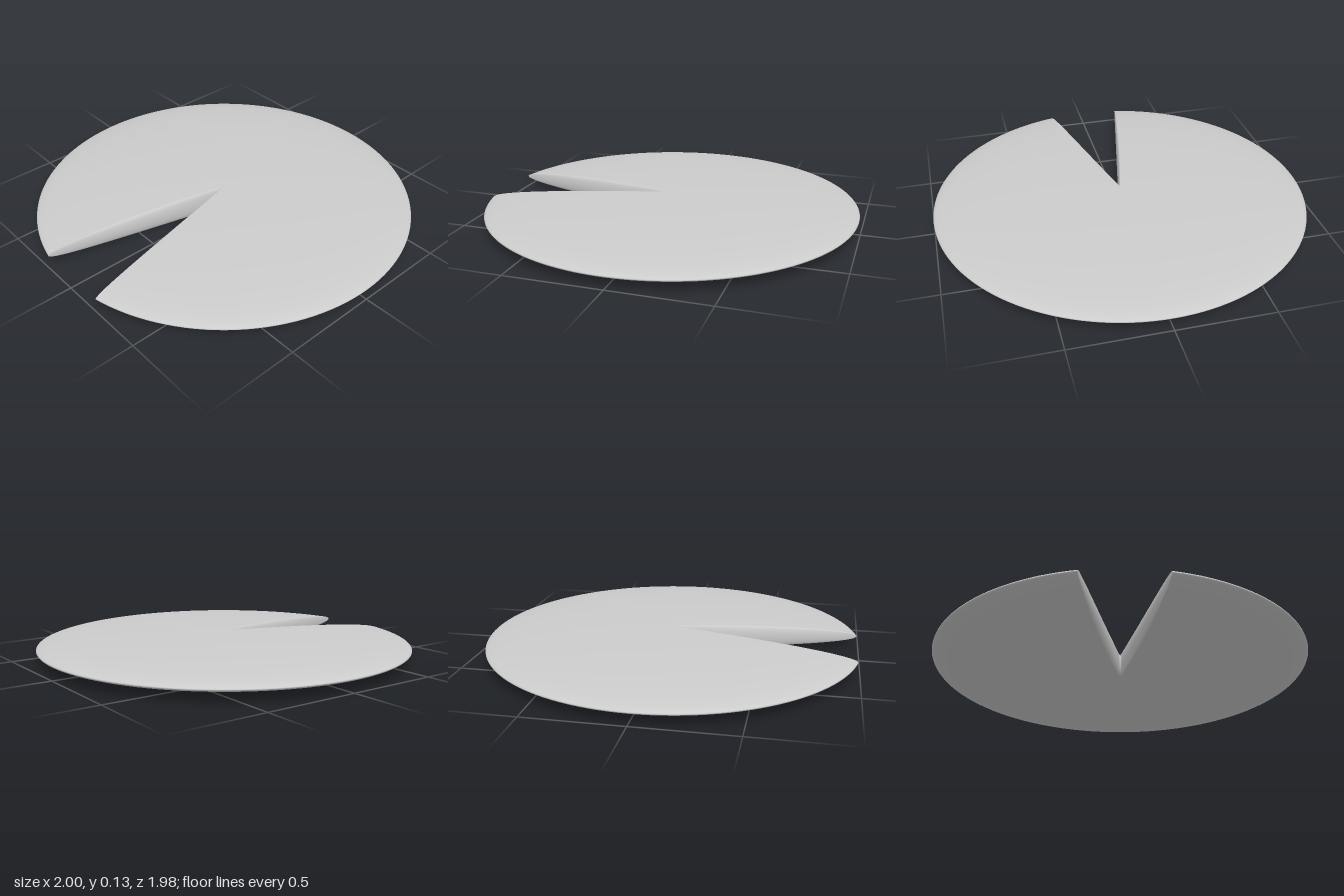
import * as THREE from 'three';
import { mergeVertices } from 'three/addons/utils/BufferGeometryUtils.js';

const R = 1;          // disc radius
const H = 0.065;      // half thickness at the centre
const NOTCH = 0.207;  // half angle of the notch
const ZC = 0.0107;    // disc centre in z
const RINGS = 48, ARC = 128, WALL = 16;

// Closed loop at one radius: top arc, notch wall, bottom arc, other notch wall.
function ringPoints(phi) {
  const s = Math.sin(phi), h = H * Math.cos(phi);
  const ease = 0.05 * (1 - s); // the wall's edges draw back from the notch
  const pts = [];
  const add = (angle, v, bulge) => pts.push(
    R * s * Math.sin(angle),
    H + h * v,
    ZC + R * s * Math.cos(angle) + 0.045 * (1 - s) * bulge,
  );
  const a = NOTCH + ease, span = 2 * (Math.PI - a);
  for (let i = 0; i < ARC; i++) add(a + span * i / ARC, 1, 0);
  for (let i = 0; i < WALL; i++) {
    const t = Math.PI * i / WALL, w = Math.sin(t);
    add(-(NOTCH + ease * (1 - w)), Math.cos(t), w);
  }
  for (let i = 0; i < ARC; i++) add(a + span * (1 - i / ARC), -1, 0);
  for (let i = 0; i < WALL; i++) {
    const t = Math.PI * i / WALL, w = Math.sin(t);
    add(NOTCH + ease * (1 - w), -Math.cos(t), w);
  }
  return pts;
}

// Loft the loops from the centre line out to the thin rim.
function notchedDiscGeometry() {
  const positions = [], index = [];
  const n = 2 * (ARC + WALL);
  for (let r = 0; r <= RINGS; r++) {
    positions.push(...ringPoints((Math.PI / 2) * r / RINGS));
    if (r === RINGS) break;
    for (let j = 0; j < n; j++) {
      const k = (j + 1) % n;
      const a = r * n + j, b = r * n + k, c = a + n, d = b + n;
      index.push(a, c, b, b, c, d);
    }
  }
  const geo = new THREE.BufferGeometry();
  geo.setAttribute('position', new THREE.Float32BufferAttribute(positions, 3));
  geo.setIndex(index);
  const welded = mergeVertices(geo, 1e-5);
  welded.computeVertexNormals();
  return welded;
}

export function createModel() {
  const group = new THREE.Group();
  group.name = 'notchedDisc';
  const disc = new THREE.Mesh(
    notchedDiscGeometry(),
    new THREE.MeshStandardMaterial({ color: 0xcccccc }),
  );
  disc.name = 'disc';
  group.add(disc);
  return group;
}
